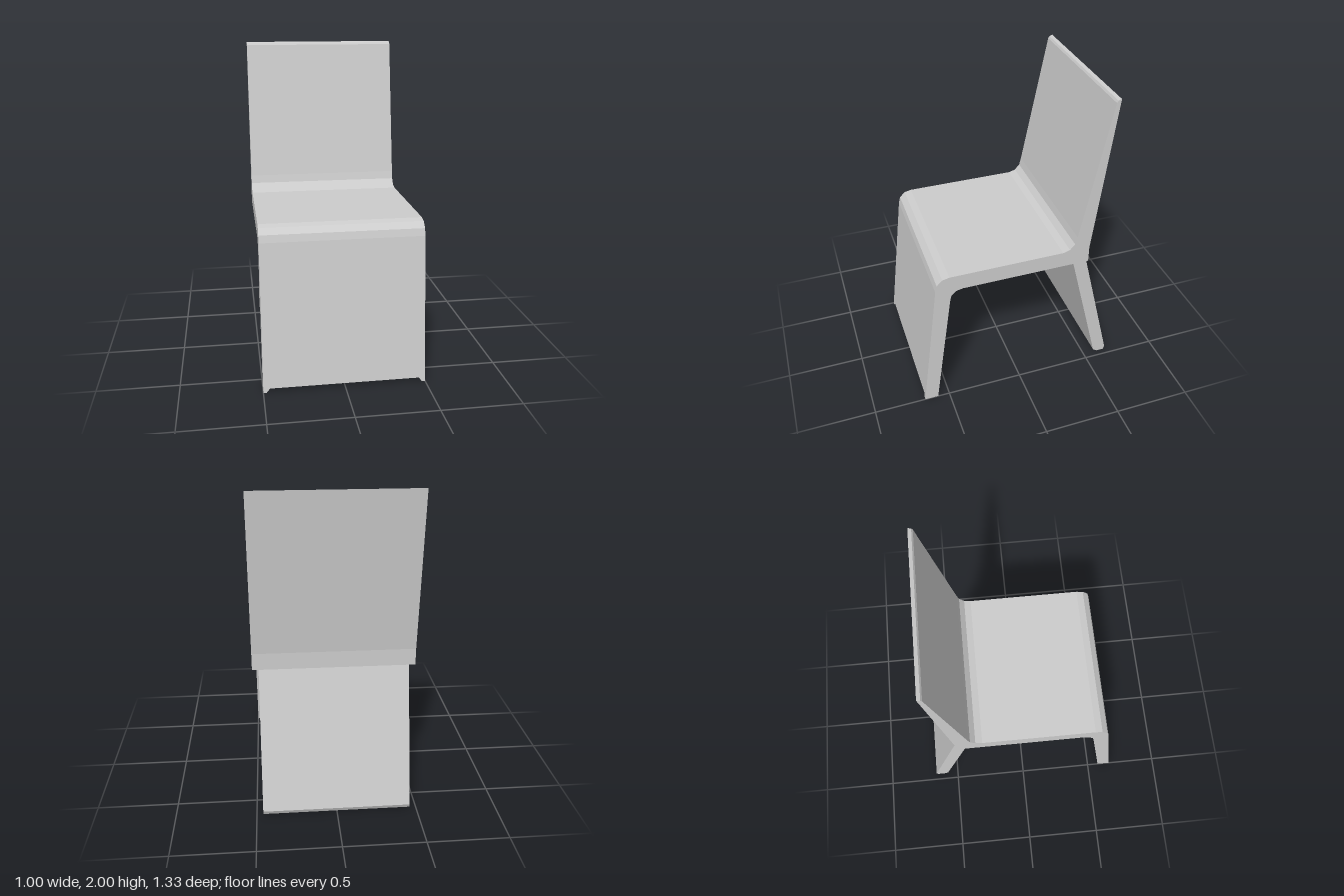
import * as THREE from 'three';

const material = new THREE.MeshStandardMaterial({ color: 0xcccccc, flatShading: true });

const toShape = (points) => new THREE.Shape(points.map(([a, b]) => new THREE.Vector2(a, b)));

// Extrudes a side profile of [z, y] points across the width, centred on x = 0
function sidePanel(name, profile, width) {
  const geometry = new THREE.ExtrudeGeometry(toShape(profile), { depth: width, bevelEnabled: false });
  geometry.translate(0, 0, -width / 2).rotateY(-Math.PI / 2);
  const mesh = new THREE.Mesh(geometry, material);
  mesh.name = name;
  return mesh;
}

// Small foot at a lower corner of the front leg, sheared to follow its slope
function frontFoot(name, side) {
  const outline = [[0.48, 0], [0.5, 0], [0.5, 0.025], [0.46, 0.025]].map(([x, y]) => [x * side, y]);
  const geometry = new THREE.ExtrudeGeometry(toShape(outline), { depth: 0.088, bevelEnabled: false });
  geometry.translate(0, 0, 0.577);
  const shear = new THREE.Matrix4().set(1, 0, 0, 0, 0, 1, 0, 0, 0, -0.13, 1, 0, 0, 0, 0, 1);
  geometry.applyMatrix4(shear);
  const mesh = new THREE.Mesh(geometry, material);
  mesh.name = name;
  return mesh;
}

export function createModel() {
  const chair = new THREE.Group();
  chair.name = 'chair';

  // Front leg, seat and backrest in one folded sheet
  chair.add(sidePanel('seatShell', [
    [0.662, 0.025], [0.552, 0.91], [0.541, 0.955], [0.505, 0.99], [0.46, 1.0],
    [-0.27, 1.0], [-0.313, 1.013], [-0.345, 1.05], [-0.358, 1.1],
    [-0.53, 1.98], [-0.538, 1.993], [-0.558, 2.0],
    [-0.445, 1.0], [-0.445, 0.895],
    [0.38, 0.895], [0.425, 0.885], [0.455, 0.853], [0.464, 0.81], [0.574, 0.025],
  ], 1.0));

  // Feet left by the shallow cut-out under the front leg
  chair.add(frontFoot('leftFrontFoot', 1), frontFoot('rightFrontFoot', -1));

  // Narrower back leg, with chamfered lower edges
  chair.add(sidePanel('backLeg', [
    [-0.355, 0.895], [-0.445, 0.895], [-0.661, 0.025], [-0.65, 0], [-0.602, 0], [-0.574, 0.02],
  ], 0.92));

  return chair;
}
